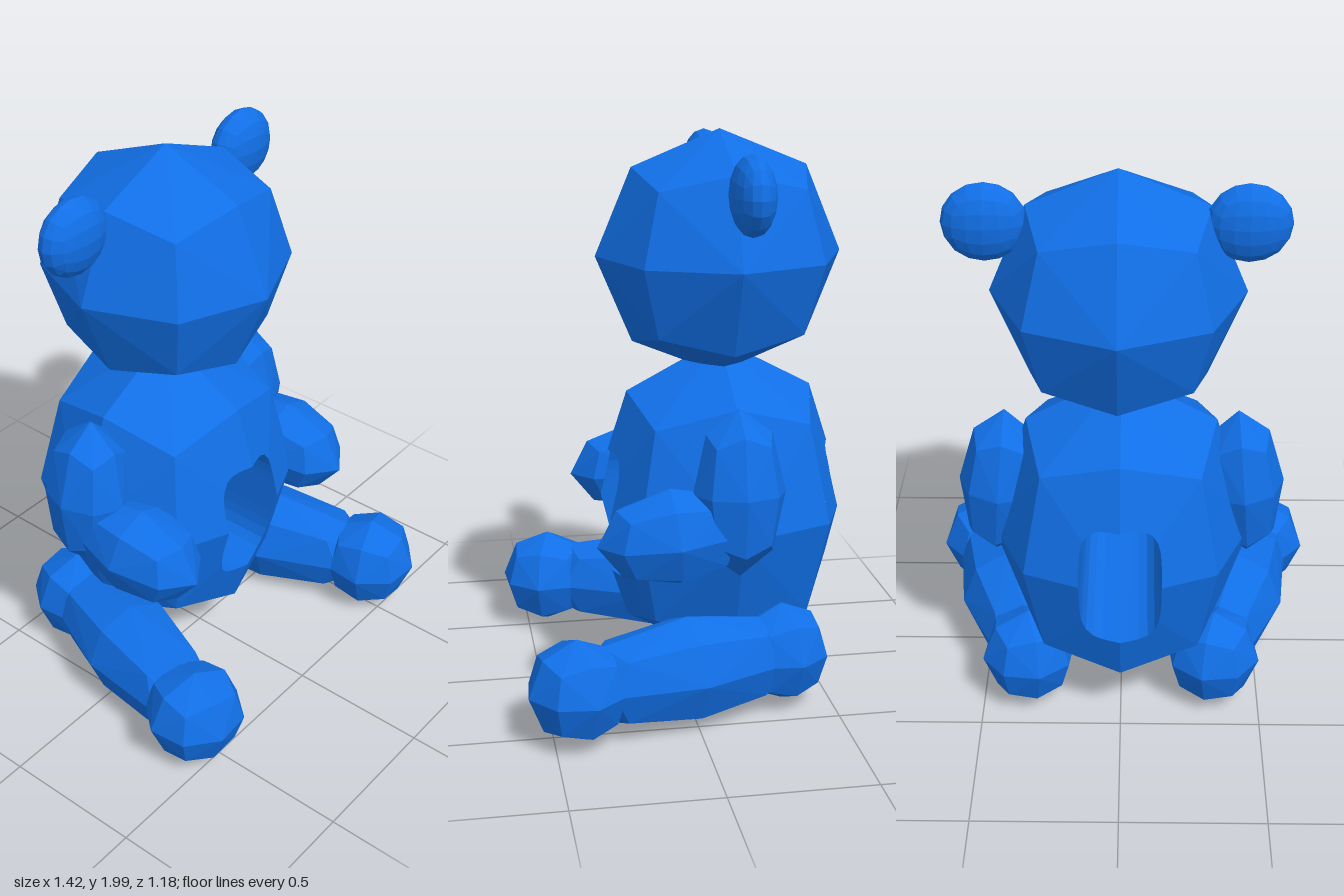
import * as THREE from 'three';
import { ConvexGeometry } from 'three/addons/geometries/ConvexGeometry.js';

const material = new THREE.MeshStandardMaterial({ color: 0x116fe6, flatShading: true });

// Faceted unit ball: a subdivided cube pushed out onto a sphere
function facetedBall(segments) {
  const points = [];
  for (let i = 0; i <= segments; i++)
    for (let j = 0; j <= segments; j++)
      for (let k = 0; k <= segments; k++) {
        if (![i, j, k].some((n) => n === 0 || n === segments)) continue;
        const angle = (n) => Math.tan((n / segments - 0.5) * Math.PI / 2);
        points.push(new THREE.Vector3(angle(i), angle(j), angle(k)).normalize());
      }
  return new ConvexGeometry(points);
}

// Ball stretched to the given radii, turned and placed
function blob(name, center, radii, rotation = [0, 0, 0], segments = 2) {
  const geometry = facetedBall(segments).scale(...radii);
  geometry.computeVertexNormals();
  const mesh = new THREE.Mesh(geometry, material);
  mesh.name = name;
  mesh.position.set(...center);
  mesh.rotation.set(...rotation);
  return mesh;
}

// Torso: faceted ball with a rounded tunnel running from front to back
function makeTorso() {
  const out = [];
  const tri = (...v) => v.forEach((p) => out.push(...p));
  const source = facetedBall(2).getAttribute('position');

  // Keep every facet except the front and back patches
  for (let i = 0; i < source.count; i += 3) {
    const v = [0, 1, 2].map((n) => [source.getX(i + n), source.getY(i + n), source.getZ(i + n)]);
    if (v.every((p) => p[2] > 0.5) || v.every((p) => p[2] < -0.5)) continue;
    tri(...v);
  }

  // Rim of the tunnel and border of the patch, on one ray from the centre
  const steps = 40;
  const ray = (i) => {
    const a = (i / steps) * Math.PI * 2;
    const c = Math.cos(a), s = Math.sin(a);
    const max = Math.max(Math.abs(c), Math.abs(s)), min = Math.min(Math.abs(c), Math.abs(s));
    const rim = (Math.abs(c / 0.3) ** 4 + Math.abs(s / (s > 0 ? 0.35 : 0.415)) ** 4) ** -0.25;
    const border = Math.SQRT1_2 / (max + 0.2247 * min);
    const at = (r) => [c * r, s * r, 1 - r * (0.4142 * max + 0.3178 * min)];
    return { rim: at(rim), border: at(border) };
  };
  const back = (p) => [p[0], p[1], -p[2]];
  for (let i = 0; i < steps; i++) {
    const a = ray(i), b = ray(i + 1);
    // Front patch
    tri(a.rim, a.border, b.border);
    tri(a.rim, b.border, b.rim);
    // Back patch
    tri(back(a.rim), back(b.border), back(a.border));
    tri(back(a.rim), back(b.rim), back(b.border));
    // Tunnel wall
    tri(a.rim, b.rim, back(b.rim));
    tri(a.rim, back(b.rim), back(a.rim));
  }
  const geometry = new THREE.BufferGeometry();
  geometry.setAttribute('position', new THREE.Float32BufferAttribute(out, 3));
  geometry.scale(0.47, 0.6, 0.47);
  geometry.computeVertexNormals();
  const mesh = new THREE.Mesh(geometry, material);
  mesh.name = 'torso';
  mesh.position.set(0, 0.66, -0.16);
  return mesh;
}

export function createModel() {
  const bear = new THREE.Group();
  bear.name = 'bear';
  bear.add(makeTorso());
  bear.add(blob('head', [0.01, 1.57, -0.155], [0.43, 0.43, 0.435]));

  // Paired parts, mirrored left and right
  for (const [side, s] of [['left', 1], ['right', -1]]) {
    bear.add(
      blob(side + 'Ear', [0.015 + s * 0.43, 1.825, -0.18], [0.142, 0.135, 0.075], [0, 0, 0], 4),
      blob(side + 'UpperArm', [s * 0.43, 0.825, -0.15], [0.145, 0.29, 0.16], [0, 0, s * 0.08]),
      blob(side + 'Forearm', [s * 0.42, 0.68, 0.07], [0.16, 0.17, 0.265], [0.1, 0, 0]),
      blob(side + 'Hip', [s * 0.335, 0.2, -0.325], [0.17, 0.18, 0.17], [0, s * 0.28, 0]),
      blob(side + 'Leg', [s * 0.43, 0.2, 0.03], [0.18, 0.19, 0.45], [0, s * 0.27, 0]),
      blob(side + 'Foot', [s * 0.54, 0.2, 0.42], [0.18, 0.18, 0.175], [0, s * 0.3, 0]),
    );
  }
  return bear;
}
